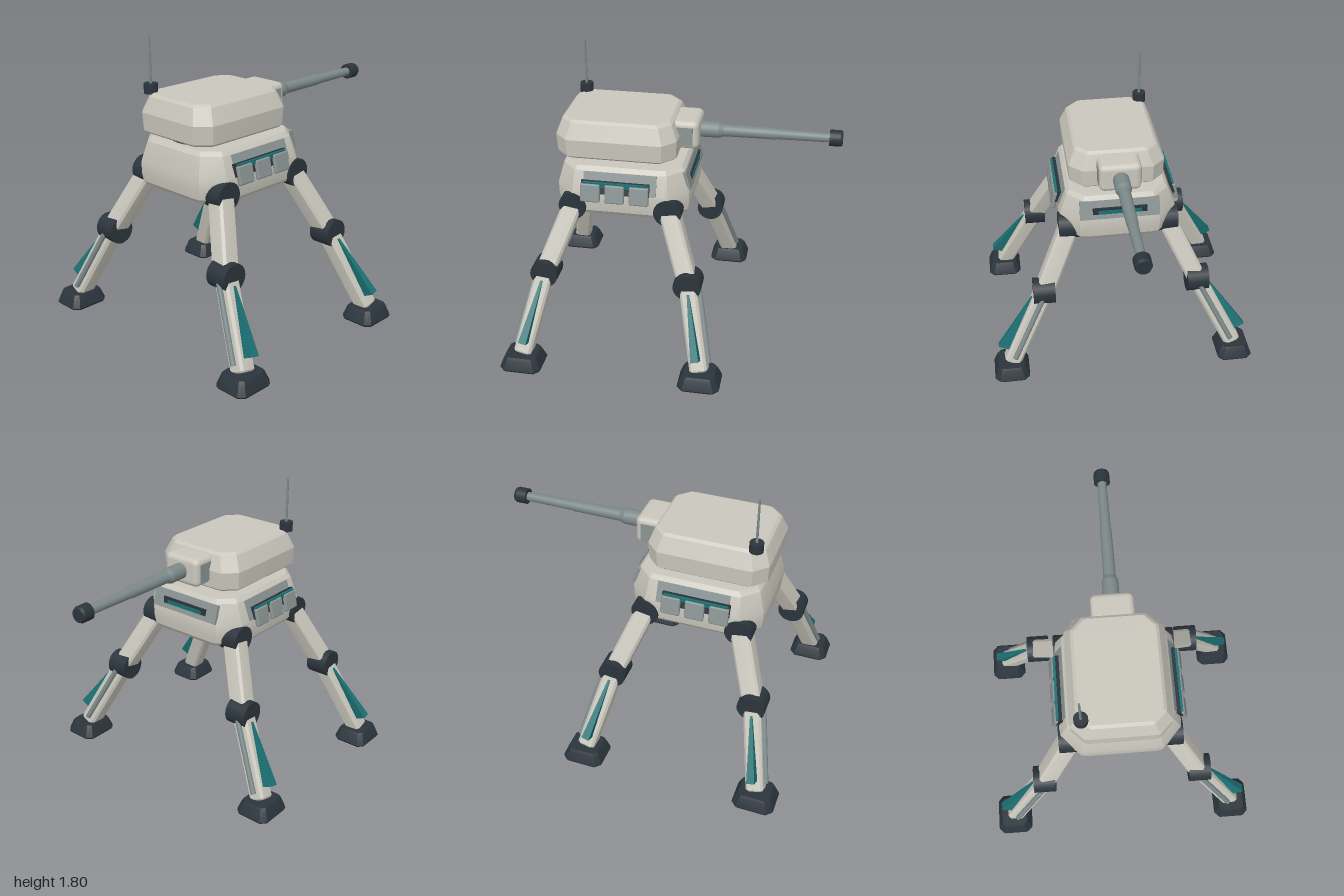
import * as THREE from 'three';
import { toCreasedNormals } from 'three/addons/utils/BufferGeometryUtils.js';
import { RoundedBoxGeometry } from 'three/addons/geometries/RoundedBoxGeometry.js';

const paint = (name, hex) => {
  const m = new THREE.MeshStandardMaterial({ color: hex });
  m.name = name;
  return m;
};

// Stacks rectangles with bevelled corners; each level is [y, halfX, halfZ, corner]
function loft(levels) {
  const pos = [], idx = [], angles = [0, 15, 75, 90], n = 16;
  for (const [y, hx, hz, c] of levels) {
    for (let k = 0; k < 4; k++) {
      const sx = k === 0 || k === 3 ? 1 : -1, sz = k < 2 ? 1 : -1;
      for (const a of angles) {
        const t = THREE.MathUtils.degToRad(k * 90 + a);
        pos.push(sx * (hx - c) + c * Math.cos(t), y, -(sz * (hz - c) + c * Math.sin(t)));
      }
    }
  }
  const last = levels.length - 1;
  for (let i = 0; i < last; i++) {
    for (let j = 0; j < n; j++) {
      const a = i * n + j, b = i * n + (j + 1) % n;
      idx.push(a, b, b + n, a, b + n, a + n);
    }
  }
  for (let j = 1; j < n - 1; j++) {
    idx.push(0, j + 1, j, last * n, last * n + j, last * n + j + 1);
  }
  const g = new THREE.BufferGeometry();
  g.setAttribute('position', new THREE.Float32BufferAttribute(pos, 3));
  g.setIndex(idx);
  return toCreasedNormals(g, 0.35);
}

export function createModel() {
  const cream = paint('cream armour', 0xc9c7bc);
  const grey = paint('gunmetal grey', 0x7c8989);
  const panelGrey = paint('panel grey', 0x8b9494);
  const dark = paint('dark joint', 0x2b343c);
  const teal = paint('teal accent', 0x1b7072);

  const model = new THREE.Group();
  model.name = 'walkerTurret';
  const add = (parent, name, geo, mat, x = 0, y = 0, z = 0) => {
    const m = new THREE.Mesh(geo, mat);
    m.name = name;
    m.position.set(x, y, z);
    parent.add(m);
    return m;
  };
  const box = (x, y, z) => new THREE.BoxGeometry(x, y, z);
  const cyl = (rTop, rBottom, h) => new THREE.CylinderGeometry(rTop, rBottom, h, 24);

  // Hull and turret shells
  add(model, 'hull', loft([
    [0.9, 0.345, 0.39, 0.15], [0.925, 0.365, 0.408, 0.16], [0.98, 0.372, 0.415, 0.16],
    [1.05, 0.37, 0.415, 0.16], [1.175, 0.322, 0.38, 0.13], [1.2, 0.3, 0.36, 0.12],
  ]), cream, 0, 0, 0.305);
  add(model, 'turretRing', cyl(0.19, 0.19, 0.06), dark, 0, 1.2, 0.45);
  add(model, 'turretPivot', cyl(0.1, 0.1, 0.08), dark, 0, 1.22, 0.4);
  add(model, 'turret', loft([
    [1.235, 0.28, 0.352, 0.1], [1.25, 0.297, 0.37, 0.11], [1.36, 0.302, 0.375, 0.11],
    [1.455, 0.26, 0.34, 0.1], [1.47, 0.242, 0.322, 0.09],
  ]), cream, 0, 0, 0.35);

  // Gun
  const gun = new THREE.Group();
  gun.name = 'gun';
  gun.position.y = 1.36;
  model.add(gun);
  add(gun, 'mantlet', new RoundedBoxGeometry(0.26, 0.18, 0.18, 3, 0.035), cream, 0, 0, -0.05);
  for (const s of [-1, 1]) {
    add(gun, 'mantletCheek', box(0.006, 0.12, 0.1), panelGrey, s * 0.129, -0.005, -0.055);
  }
  const barrel = [
    ['barrelSleeve', 0.05, 0.05, -0.1, -0.25, grey],
    ['barrelCollar', 0.05, 0.038, -0.25, -0.28, grey],
    ['barrelRear', 0.038, 0.035, -0.28, -0.6, grey],
    ['barrelFront', 0.032, 0.028, -0.6, -0.93, grey],
    ['muzzle', 0.05, 0.05, -0.92, -0.985, dark],
    ['muzzleRim', 0.05, 0.043, -0.985, -1, dark],
  ];
  for (const [name, r0, r1, z0, z1, mat] of barrel) {
    add(gun, name, cyl(r1, r0, z0 - z1), mat, 0, 0, (z0 + z1) / 2).rotation.x = -Math.PI / 2;
  }

  // Antenna
  add(model, 'antennaBase', cyl(0.042, 0.042, 0.06), dark, -0.23, 1.49, 0.64);
  add(model, 'antenna', cyl(0.006, 0.008, 0.29), grey, -0.23, 1.66, 0.64);

  // Side panels with the lit strip behind them
  for (const s of [-1, 1]) {
    add(model, 'sideBacking', box(0.02, 0.13, 0.45), panelGrey, s * 0.341, 1.11, 0.305).rotation.z = s * 0.37;
    add(model, 'sideSlot', box(0.025, 0.08, 0.42), dark, s * 0.365, 1.09, 0.33).rotation.z = s * 0.3;
    add(model, 'sideStrip', box(0.026, 0.03, 0.4), teal, s * 0.37, 1.112, 0.33);
    for (const z of [0.18, 0.33, 0.48]) {
      add(model, 'sidePanel', new RoundedBoxGeometry(0.028, 0.115, 0.12, 2, 0.01), panelGrey,
        s * 0.39, 1.062, z).rotation.z = s * 0.2;
    }
  }

  // Rear vent under the gun
  add(model, 'rearBacking', box(0.5, 0.12, 0.02), panelGrey, 0, 1.115, -0.09).rotation.x = 0.28;
  add(model, 'rearVent', box(0.34, 0.075, 0.035), dark, 0, 1.095, -0.09);
  add(model, 'rearStrip', box(0.27, 0.025, 0.036), teal, 0, 1.105, -0.094);

  // Legs, mirrored over both axes
  const down = new THREE.Vector3(0, -1, 0);
  const segment = (name, a, b) => {
    const g = new THREE.Group(), d = b.clone().sub(a);
    g.name = name;
    g.position.copy(a);
    g.quaternion.setFromUnitVectors(down, d.clone().normalize());
    return { g, length: d.length() };
  };
  const joint = cyl(0.086, 0.086, 0.14).rotateZ(Math.PI / 2);
  const beam = (w, len) => loft([
    [-len, w - 0.008, w - 0.008, 0.018], [-len + 0.01, w, w, 0.02], [0, w, w, 0.02],
  ]);
  const foot = loft([
    [0, 0.108, 0.122, 0.04], [0.012, 0.114, 0.13, 0.045], [0.075, 0.092, 0.105, 0.035], [0.09, 0.082, 0.095, 0.03],
  ]);
  for (const sx of [-1, 1]) {
    for (const sz of [-1, 1]) {
      const at = (x, y, z) => new THREE.Vector3(sx * x, y, 0.305 + sz * z);
      const hip = at(0.31, 0.95, 0.295), knee = at(0.5, 0.555, 0.447), ankle = at(0.745, 0.07, 0.56);
      const leg = new THREE.Group();
      leg.name = (sz > 0 ? 'front' : 'back') + (sx > 0 ? 'Left' : 'Right') + 'Leg';
      model.add(leg);
      add(leg, 'hipJoint', joint, dark, hip.x, hip.y, hip.z);
      add(leg, 'kneeJoint', joint, dark, knee.x, knee.y, knee.z);
      add(leg, 'foot', foot, dark, ankle.x, 0, ankle.z);

      const upper = segment('upperLeg', hip, knee);
      leg.add(upper.g);
      add(upper.g, 'thigh', beam(0.06, upper.length), cream);

      const lower = segment('lowerLeg', knee, ankle);
      leg.add(lower.g);
      add(lower.g, 'shin', beam(0.055, lower.length - 0.01), cream);
      add(lower.g, 'piston', cyl(0.017, 0.017, 0.46), grey, 0, -0.27, sz * 0.062);

      // Fin that widens towards the foot
      const fin = box(0.1, 0.4, 0.05), p = fin.attributes.position;
      for (let i = 0; i < p.count; i++) {
        const top = p.getY(i) > 0, outer = p.getX(i) * sx > 0;
        p.setX(i, sx * (outer ? (top ? 0.06 : 0.125) : 0.03));
        if (top) p.setZ(i, p.getZ(i) * 0.3);
      }
      fin.computeVertexNormals();
      add(lower.g, 'fin', fin, teal, 0, -0.27, 0);
    }
  }
  return model;
}
